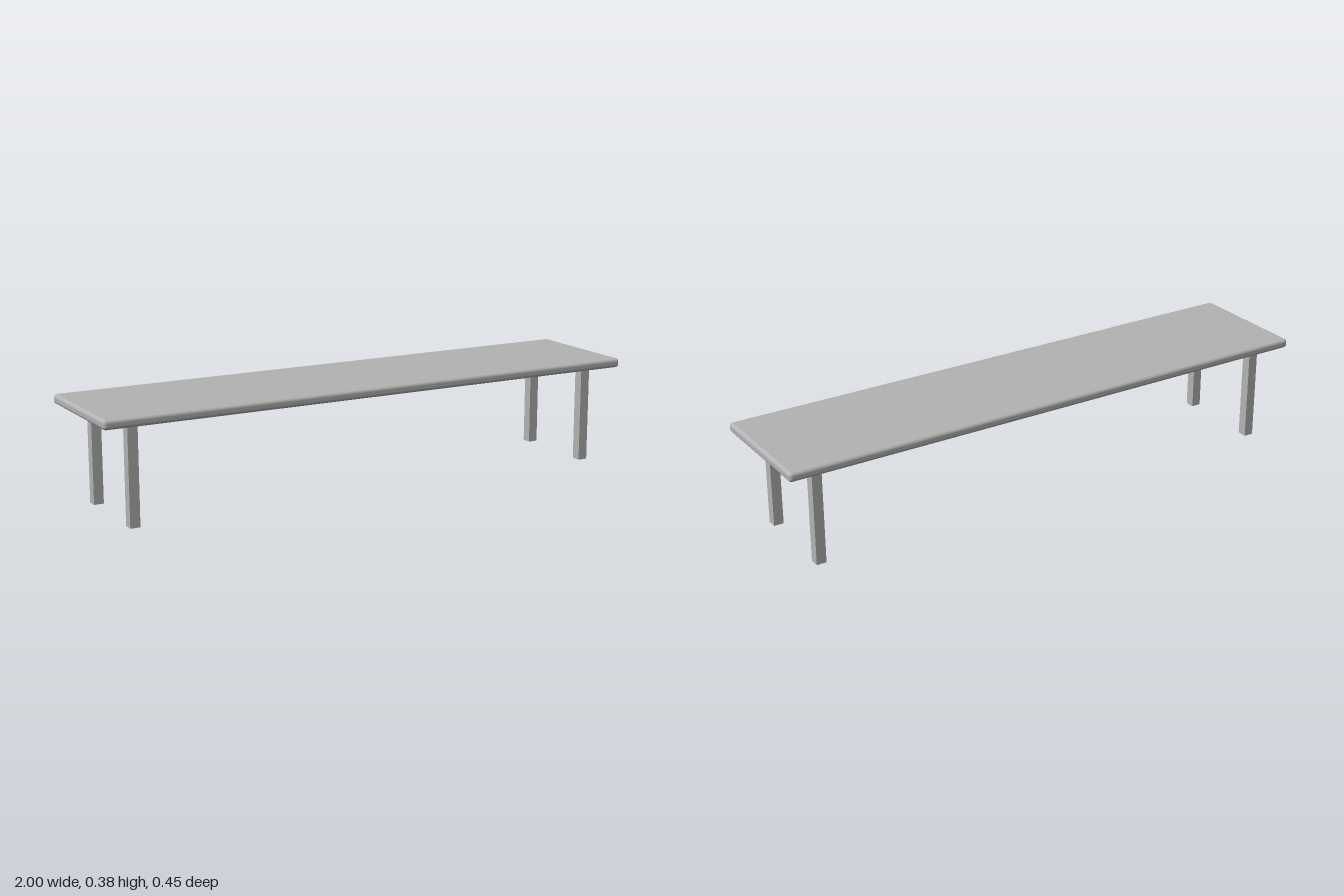
import * as THREE from 'three';
import { RoundedBoxGeometry } from 'three/addons/geometries/RoundedBoxGeometry.js';

export function createModel() {
  const bench = new THREE.Group();
  bench.name = 'bench';
  const grey = new THREE.MeshStandardMaterial({ color: 0xb3b3b3 });
  grey.name = 'grey';

  const height = 0.375, thickness = 0.033;
  const legHeight = height - thickness, legWidth = 0.035;

  // Long seat slab with softly rounded edges
  const seat = new THREE.Mesh(new RoundedBoxGeometry(2, thickness, 0.45, 3, 0.012), grey);
  seat.name = 'seat';
  seat.position.y = height - thickness / 2;
  bench.add(seat);

  // Four square legs, mirrored to the corners
  const legGeometry = new THREE.BoxGeometry(legWidth, legHeight, legWidth);
  for (const [sideName, sx] of [['Left', 1], ['Right', -1]]) {
    for (const [endName, sz] of [['front', 1], ['back', -1]]) {
      const leg = new THREE.Mesh(legGeometry, grey);
      leg.name = `${endName}${sideName}Leg`;
      leg.position.set(sx * 0.884, legHeight / 2, sz * 0.157);
      bench.add(leg);
    }
  }
  return bench;
}
